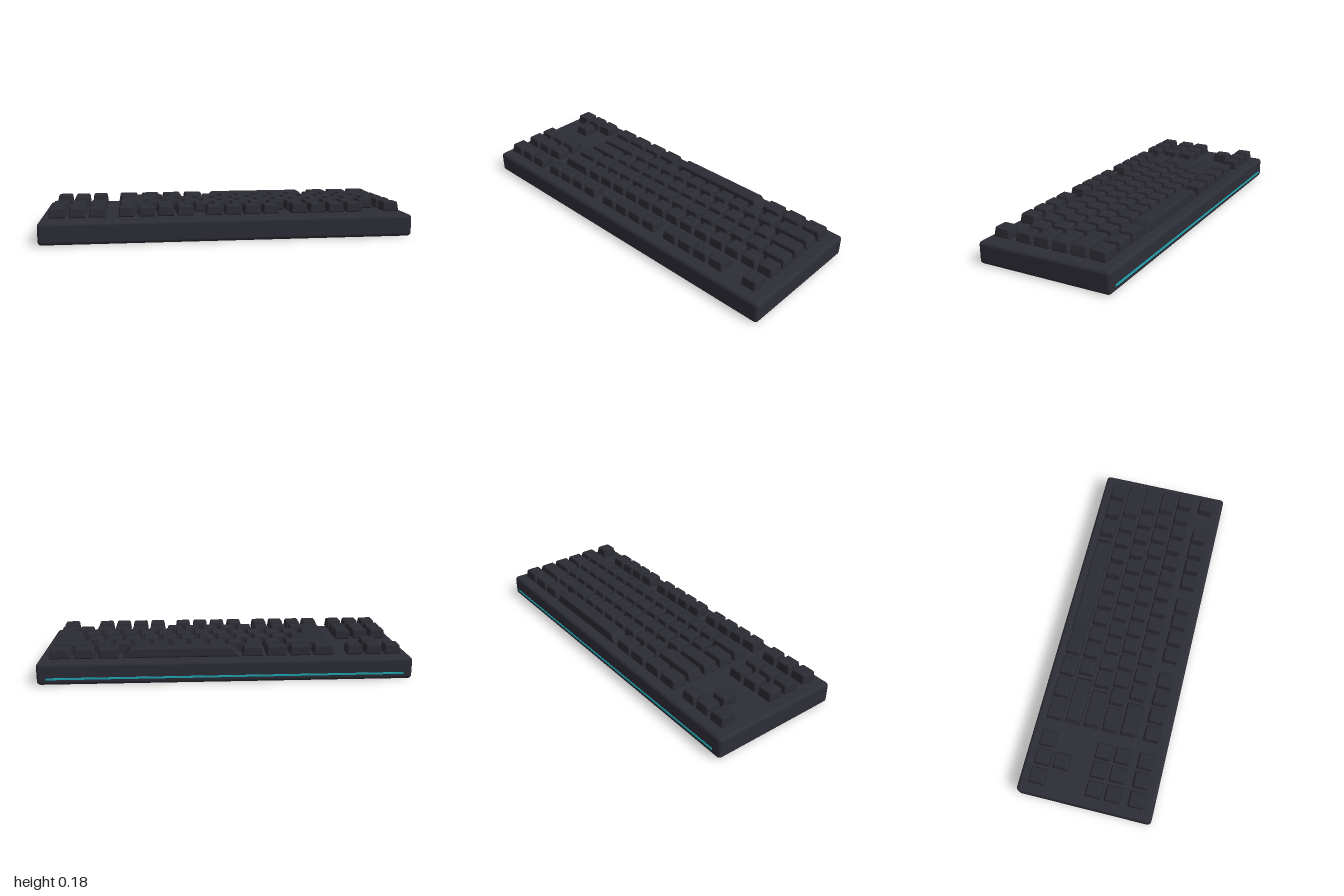
import * as THREE from 'three';
import { mergeVertices } from 'three/addons/utils/BufferGeometryUtils.js';
import { RoundedBoxGeometry } from 'three/addons/geometries/RoundedBoxGeometry.js';

const UNIT = 0.1027;   // width of one key slot
const GAP = 0.012;     // space between caps
const START = 0.947;   // x where every row begins, running towards -x
const CAP_H = 0.052, CAP_D = 0.092, TAPER = 0.15;

// Rounded cap that narrows towards the top
function capGeometry(units) {
  const geo = new RoundedBoxGeometry(units * UNIT - GAP, CAP_H, CAP_D, 3, 0.009);
  const p = geo.attributes.position;
  for (let i = 0; i < p.count; i++) {
    const s = 1 - TAPER * (p.getY(i) / CAP_H + 0.5);
    p.setX(i, p.getX(i) * s);
    p.setZ(i, p.getZ(i) * s);
  }
  geo.deleteAttribute('normal');
  geo.deleteAttribute('uv');
  const smooth = mergeVertices(geo, 1e-5);
  smooth.computeVertexNormals();
  return smooth;
}

const ones = (n) => Array(n).fill(1);

// Key widths along each row; negative values are empty slots
const ROWS = [
  { name: 'functionRow', z: 0.274, keys: [1, -1, ...ones(4), -0.5, ...ones(4), -0.5, ...ones(4), -0.5, 1, 1, 1] },
  { name: 'numberRow', z: 0.145, keys: [...ones(13), 2, -0.5, 1, 1, 1] },
  { name: 'upperLetterRow', z: 0.0415, keys: [1.5, ...ones(12), 1.5, -0.5, 1, 1, 1] },
  { name: 'homeRow', z: -0.061, keys: [1.75, ...ones(11), 2.25] },
  { name: 'lowerLetterRow', z: -0.164, keys: [2.25, ...ones(10), 2.75, -1.5, 1] },
  { name: 'spaceRow', z: -0.268, keys: [1.25, 1.25, 1.25, 6.25, 1.25, 1.25, 1.25, 1.25, -0.5, 1, 1, 1] },
];

export function createModel() {
  const caseMat = new THREE.MeshStandardMaterial({ name: 'caseCharcoal', color: 0x2d2d37 });
  const keyMat = new THREE.MeshStandardMaterial({ name: 'keyCharcoal', color: 0x2b2b33 });
  const lightMat = new THREE.MeshStandardMaterial({ name: 'stripTeal', color: 0x1fa8b4 });

  const model = new THREE.Group();
  model.name = 'keyboard';

  // Case
  const body = new THREE.Mesh(new RoundedBoxGeometry(2, 0.119, 0.74, 4, 0.02), caseMat);
  body.name = 'case';
  body.position.set(0, 0.0595, 0.002);
  model.add(body);

  // Light strip along the long edge at -z
  const strip = new THREE.Mesh(new THREE.BoxGeometry(1.9, 0.01, 0.008), lightMat);
  strip.name = 'lightStrip';
  strip.position.set(0, 0.0355, -0.368);
  model.add(strip);

  // Key caps on a slightly tilted plane
  const caps = new THREE.Group();
  caps.name = 'keys';
  caps.position.y = 0.1545;
  caps.rotation.x = -0.011;
  model.add(caps);

  const cache = new Map();
  for (const { name, z, keys } of ROWS) {
    const row = new THREE.Group();
    row.name = name;
    row.position.z = z;
    let x = START;
    for (const k of keys) {
      const w = Math.abs(k) * UNIT;
      if (k > 0) {
        if (!cache.has(k)) cache.set(k, capGeometry(k));
        const key = new THREE.Mesh(cache.get(k), keyMat);
        key.name = k > 6 ? 'spaceBar' : 'key';
        key.position.x = x - w / 2;
        row.add(key);
      }
      x -= w;
    }
    caps.add(row);
  }
  return model;
}
